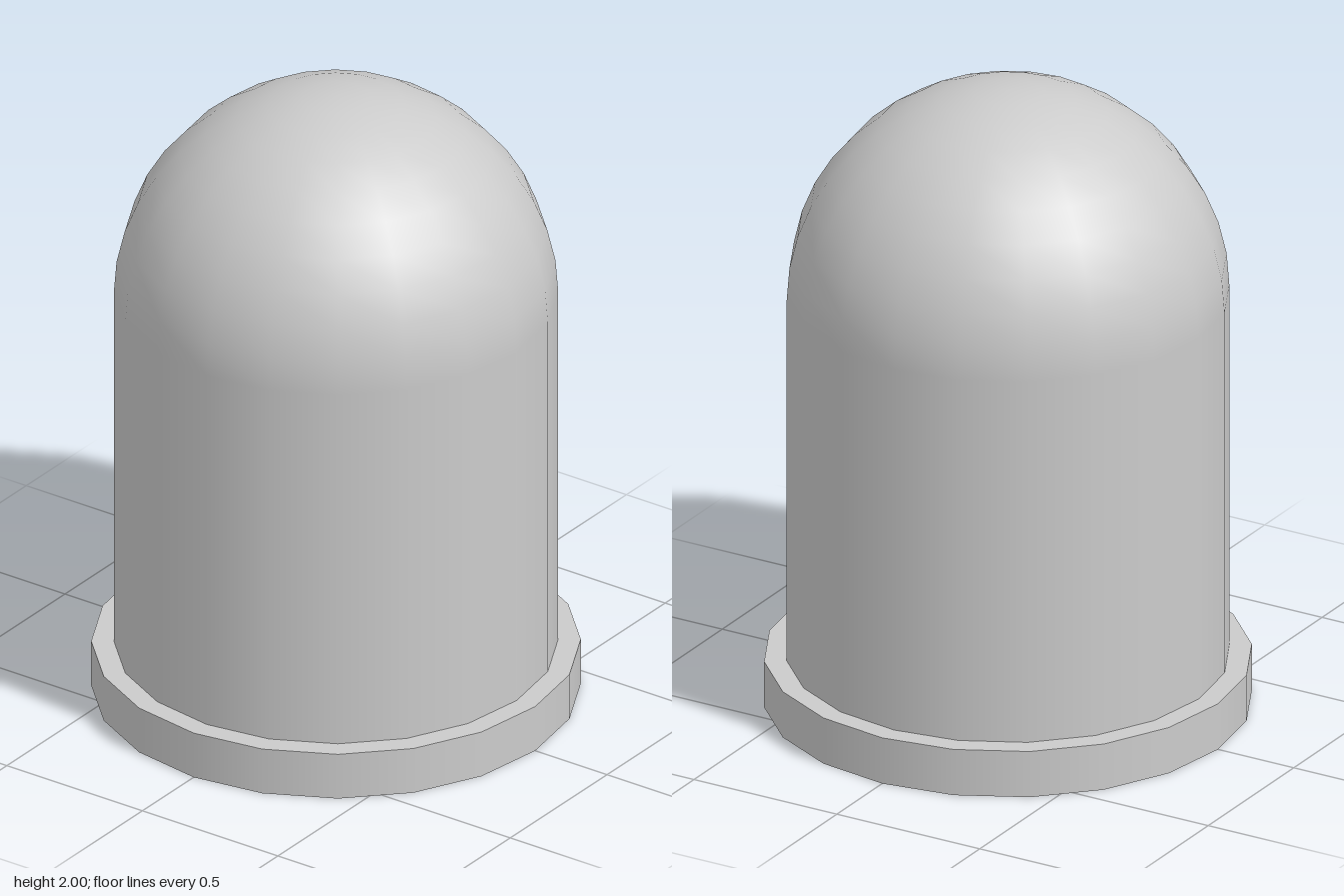
import * as THREE from 'three';

export function createModel() {
  const model = new THREE.Group();
  const material = new THREE.MeshStandardMaterial({ color: 0xcccccc });
  const sides = 20;
  const radius = 0.667;
  const flangeHeight = 0.15;
  const domeBase = 2 - radius;

  const add = (name, geometry, y) => {
    const mesh = new THREE.Mesh(geometry, material);
    mesh.name = name;
    mesh.position.y = y;
    model.add(mesh);
  };

  // Wide foot ring, closed below
  add('baseFlange', new THREE.CylinderGeometry(0.735, 0.735, flangeHeight, sides), flangeHeight / 2);

  // Straight body, open where it meets the flange and the dome
  const bodyHeight = domeBase - flangeHeight;
  add('body', new THREE.CylinderGeometry(radius, radius, bodyHeight, sides, 1, true), flangeHeight + bodyHeight / 2);

  // Hemispherical top
  add('dome', new THREE.SphereGeometry(radius, sides, 10, 0, Math.PI * 2, 0, Math.PI / 2), domeBase);

  return model;
}
